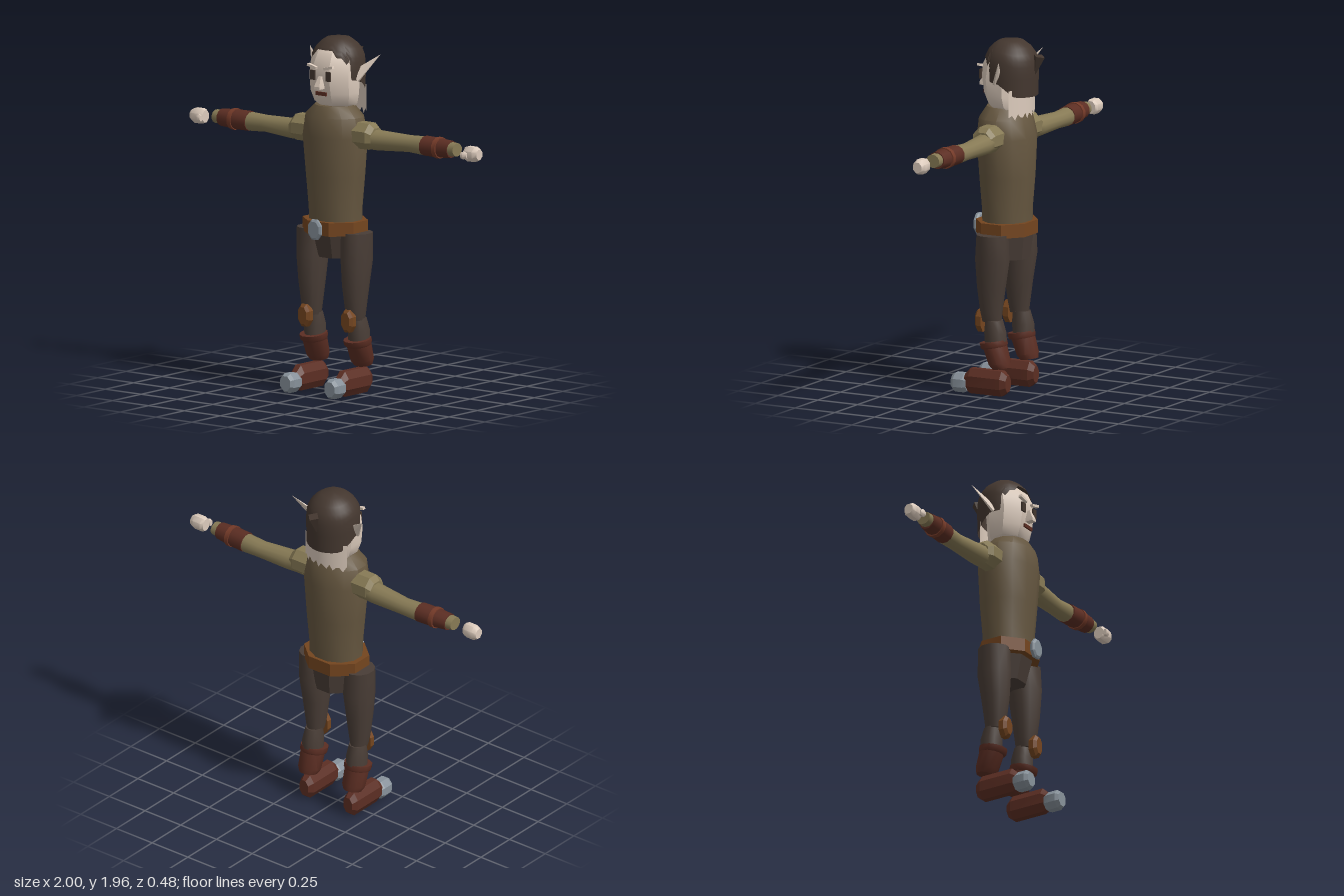
import * as THREE from 'three';
import { toCreasedNormals } from 'three/addons/utils/BufferGeometryUtils.js';
import { ParametricGeometry } from 'three/addons/geometries/ParametricGeometry.js';

const mat = (name, color, side = THREE.FrontSide) => {
  const m = new THREE.MeshStandardMaterial({ color, side });
  m.name = name;
  return m;
};

// Closed loft through polygonal rings.
// axis y: [y, rx, rz, cx, cz]   axis x: [x, rz, ry, cz, cy]   axis z: [z, ry, rx, cy, cx]
function loft(rings, sides = 12, axis = 'y') {
  const cap = ([t, , , a, b]) => [t, 0, 0, a, b];
  const all = [cap(rings[0]), ...rings, cap(rings[rings.length - 1])];
  const n = all.length - 1;
  const k = 1 / Math.cos(Math.PI / sides);
  return new ParametricGeometry((u, v, p) => {
    const [t, ra, rb, ca = 0, cb = 0] = all[Math.min(n, Math.max(0, Math.round(v * n)))];
    const f = ((Math.round(u * sides) % sides) + 0.5) * 2 * Math.PI / sides;
    const a = ca + k * ra * Math.sin(f), b = cb + k * rb * Math.cos(f);
    if (axis === 'y') p.set(a, t, b);
    else if (axis === 'x') p.set(t, b, a);
    else p.set(b, a, t);
  }, sides, n);
}

// Prepares normals; optionally mirrors across x and restores the winding
function finish(geo, crease, mirror) {
  const g = geo.index ? geo.toNonIndexed() : geo.clone();
  g.deleteAttribute('uv');
  g.deleteAttribute('normal');
  if (mirror) {
    g.scale(-1, 1, 1);
    const p = g.attributes.position;
    const a = new THREE.Vector3(), b = new THREE.Vector3();
    for (let i = 0; i < p.count; i += 3) {
      a.fromBufferAttribute(p, i + 1);
      b.fromBufferAttribute(p, i + 2);
      p.setXYZ(i + 1, b.x, b.y, b.z);
      p.setXYZ(i + 2, a.x, a.y, a.z);
    }
  }
  g.computeVertexNormals();
  return toCreasedNormals(g, crease);
}

// Piecewise linear lookup in [[x, y], ...] with rising x
function lookup(table, x) {
  for (let i = 1; i < table.length; i++) {
    const [x0, y0] = table[i - 1], [x1, y1] = table[i];
    if (x <= x1) return y0 + (y1 - y0) * Math.max(0, (x - x0) / (x1 - x0));
  }
  return table[table.length - 1][1];
}

export function createModel() {
  const root = new THREE.Group();
  root.name = 'elfFigure';
  const skin = mat('skin', 0xdccbbc, THREE.DoubleSide);
  const hair = mat('darkHair', 0x44372f, THREE.DoubleSide);
  const tunic = mat('tunicBrown', 0x65563f);
  const sleeve = mat('sleeveOlive', 0x877a55);
  const trouser = mat('trouserBrown', 0x493d36);
  const leather = mat('darkRedLeather', 0x5c2e23);
  const strap = mat('strapRed', 0x743a28);
  const tan = mat('tanLeather', 0x74451f);
  const metal = mat('greyMetal', 0x87919a);

  const add = (name, geo, material, crease = 0.75, mirror = false) => {
    const m = new THREE.Mesh(finish(geo, crease, mirror), material);
    m.name = name;
    root.add(m);
  };
  const pair = (name, geo, material, crease = 0.75) => {
    add('left' + name, geo, material, crease);
    add('right' + name, geo, material, crease, true);
  };

  // Torso, belt and hips
  add('torso', loft([
    [0.92, 0.15, 0.13, 0, -0.015], [1.02, 0.152, 0.132, 0, -0.015], [1.2, 0.167, 0.146, 0, -0.015],
    [1.42, 0.19, 0.153, 0, -0.012], [1.53, 0.172, 0.135, 0, -0.005], [1.59, 0.11, 0.1, 0, -0.005],
  ]), tunic);
  add('belt', loft([[0.88, 0.178, 0.152, 0, -0.012], [0.955, 0.178, 0.152, 0, -0.012]], 8), tan, 0.3);
  add('buckle', loft([
    [0.15, 0.048, 0.036, 0.915], [0.16, 0.056, 0.045, 0.915], [0.172, 0.056, 0.045, 0.915], [0.18, 0.044, 0.034, 0.915],
  ], 8, 'z'), metal, 0.3);
  add('hips', loft([[0.745, 0.105, 0.1, 0, -0.03], [0.9, 0.135, 0.13, 0, -0.02]], 8), trouser, 0.3);

  // Legs
  pair('Thigh', loft([
    [0.41, 0.044, 0.054, 0.152, -0.003], [0.46, 0.052, 0.062, 0.152, 0], [0.6, 0.068, 0.08, 0.152, 0],
    [0.75, 0.08, 0.096, 0.154, -0.007], [0.895, 0.084, 0.088, 0.153, -0.008],
  ]), trouser);
  pair('Shin', loft([
    [0.26, 0.055, 0.06, 0.153, -0.03], [0.35, 0.056, 0.062, 0.153, -0.026], [0.42, 0.046, 0.048, 0.152, -0.018],
  ]), trouser);
  pair('KneePad', loft([
    [0.045, 0.062, 0.041, 0.41, 0.15], [0.075, 0.062, 0.041, 0.41, 0.15], [0.09, 0.046, 0.027, 0.41, 0.15],
  ], 8, 'z'), tan, 0.3);
  const tilt = g => g.translate(0, -0.23, 0.035).rotateX(0.18).translate(0, 0.23, -0.035);
  pair('BootShaft', tilt(loft([
    [0.15, 0.05, 0.048, 0.154, -0.052], [0.18, 0.066, 0.058, 0.154, -0.046], [0.295, 0.068, 0.066, 0.154, -0.03],
  ])), leather);
  pair('BootCuff', tilt(loft([
    [0.27, 0.07, 0.069, 0.153, -0.029], [0.28, 0.075, 0.075, 0.153, -0.028], [0.305, 0.075, 0.075, 0.153, -0.026],
  ])), leather);
  pair('Shoe', loft([
    [-0.107, 0.045, 0.03, 0.07, 0.154], [-0.075, 0.07, 0.045, 0.07, 0.154],
    [0.12, 0.07, 0.045, 0.07, 0.154], [0.16, 0.04, 0.035, 0.06, 0.154],
  ], 8, 'z'), leather, 0.3);
  pair('ToeCap', loft([
    [0.14, 0.045, 0.042, 0.053, 0.154], [0.16, 0.053, 0.048, 0.053, 0.154],
    [0.215, 0.053, 0.048, 0.053, 0.154], [0.235, 0.04, 0.035, 0.053, 0.154],
  ], 8, 'z'), metal, 0.3);

  // Arms held straight out
  pair('Shoulder', loft([
    [0.15, 0.07, 0.073, -0.015, 1.437], [0.255, 0.07, 0.072, -0.015, 1.437], [0.285, 0.056, 0.054, -0.018, 1.43],
  ], 8, 'x'), sleeve, 0.3);
  pair('Sleeve', loft([
    [0.2, 0.064, 0.06, -0.016, 1.425], [0.3, 0.06, 0.054, -0.024, 1.418], [0.5, 0.049, 0.045, -0.04, 1.42],
    [0.6, 0.052, 0.05, -0.037, 1.42], [0.8, 0.043, 0.038, -0.025, 1.425], [0.84, 0.04, 0.036, -0.024, 1.425],
  ], 12, 'x'), sleeve);
  pair('WristGuard', loft([
    [0.608, 0.057, 0.053, -0.036, 1.422], [0.7, 0.056, 0.053, -0.03, 1.422], [0.802, 0.047, 0.046, -0.026, 1.423],
  ], 12, 'x'), leather);
  pair('WristStrap', loft([[0.7, 0.061, 0.058, -0.03, 1.422], [0.726, 0.06, 0.057, -0.03, 1.422]], 12, 'x'), strap);
  pair('Hand', loft([
    [0.908, 0.028, 0.034, -0.018, 1.416], [0.925, 0.037, 0.041, -0.018, 1.416],
    [0.975, 0.037, 0.041, -0.018, 1.416], [1.0, 0.026, 0.028, -0.018, 1.416],
  ], 8, 'x'), skin);
  pair('Thumb', loft([
    [0.907, 0.012, 0.017, 0.024, 1.41], [0.922, 0.017, 0.022, 0.022, 1.41], [0.942, 0.01, 0.014, 0.018, 1.41],
  ], 8, 'x'), skin);

  // Head and ragged skin at the nape
  add('head', loft([
    [1.57, 0.085, 0.075, 0, -0.035], [1.6, 0.118, 0.095, 0, -0.018], [1.66, 0.134, 0.108, 0, -0.008],
    [1.75, 0.136, 0.118, 0, -0.004], [1.82, 0.134, 0.124, 0, -0.016], [1.885, 0.118, 0.108, 0, -0.03],
    [1.925, 0.07, 0.07, 0, -0.04],
  ], 8), skin, 0.6);
  add('nape', new ParametricGeometry((u, v, p) => {
    const s = u * 2 - 1;
    const low = 1.55 + 0.018 * Math.sin(u * 39);
    p.set(-0.145 * s, low + (1.7 - low) * v, -0.15 + 0.045 * s * s);
  }, 16, 1), skin);

  // Hair cap whose lower edge follows the hairline
  const hairline = [[0, 1.9], [0.42, 1.9], [0.5, 1.865], [0.85, 1.86], [1.0, 1.82], [1.1, 1.74], [1.6, 1.73], [2.2, 1.66], [3.2, 1.655]];
  const radius = [[1.65, 0.147], [1.8, 0.151], [1.87, 0.144], [1.91, 0.122], [1.94, 0.092], [1.956, 0.066], [1.96, 0]];
  add('hair', new ParametricGeometry((u, v, p) => {
    const f = (u * 2 - 1) * Math.PI;
    const low = lookup(hairline, Math.abs(f));
    const y = v < 0.999 ? low + (1.956 - low) * Math.min(1, v / 0.9) : 1.96;
    const r = v < 0.999 ? lookup(radius, y) : 0;
    p.set(r * Math.sin(f), y, -0.04 + r * Math.cos(f));
  }, 32, 10), hair, 0.6);
  add('hairTuft', new THREE.ConeGeometry(0.035, 0.12, 4).rotateX(Math.PI - 0.25).translate(0, 1.825, -0.2), hair, 0.2);

  // Pointed ears
  const ear = new THREE.ConeGeometry(0.042, 0.19, 6).scale(1, 1, 0.3);
  const q = new THREE.Quaternion().setFromUnitVectors(
    new THREE.Vector3(0, 1, 0), new THREE.Vector3(0.12, 0.13, -0.08).normalize());
  pair('Ear', ear.applyQuaternion(q).translate(0.188, 1.815, -0.06), skin, 0.3);

  // Face
  pair('Eye', new THREE.BoxGeometry(0.034, 0.053, 0.009).translate(0.054, 1.762, 0.118), hair, 0.2);
  pair('Brow', new THREE.BoxGeometry(0.062, 0.014, 0.02).rotateZ(0.25).translate(0.057, 1.81, 0.118), skin, 0.2);
  add('nose', loft([
    [1.69, 0.018, 0.022, 0, 0.13], [1.705, 0.018, 0.022, 0, 0.13], [1.758, 0.009, 0.01, 0, 0.118],
  ], 4), skin, 0.2);
  add('mouth', new THREE.BoxGeometry(0.074, 0.02, 0.009).translate(0, 1.662, 0.112), leather, 0.2);

  return root;
}
